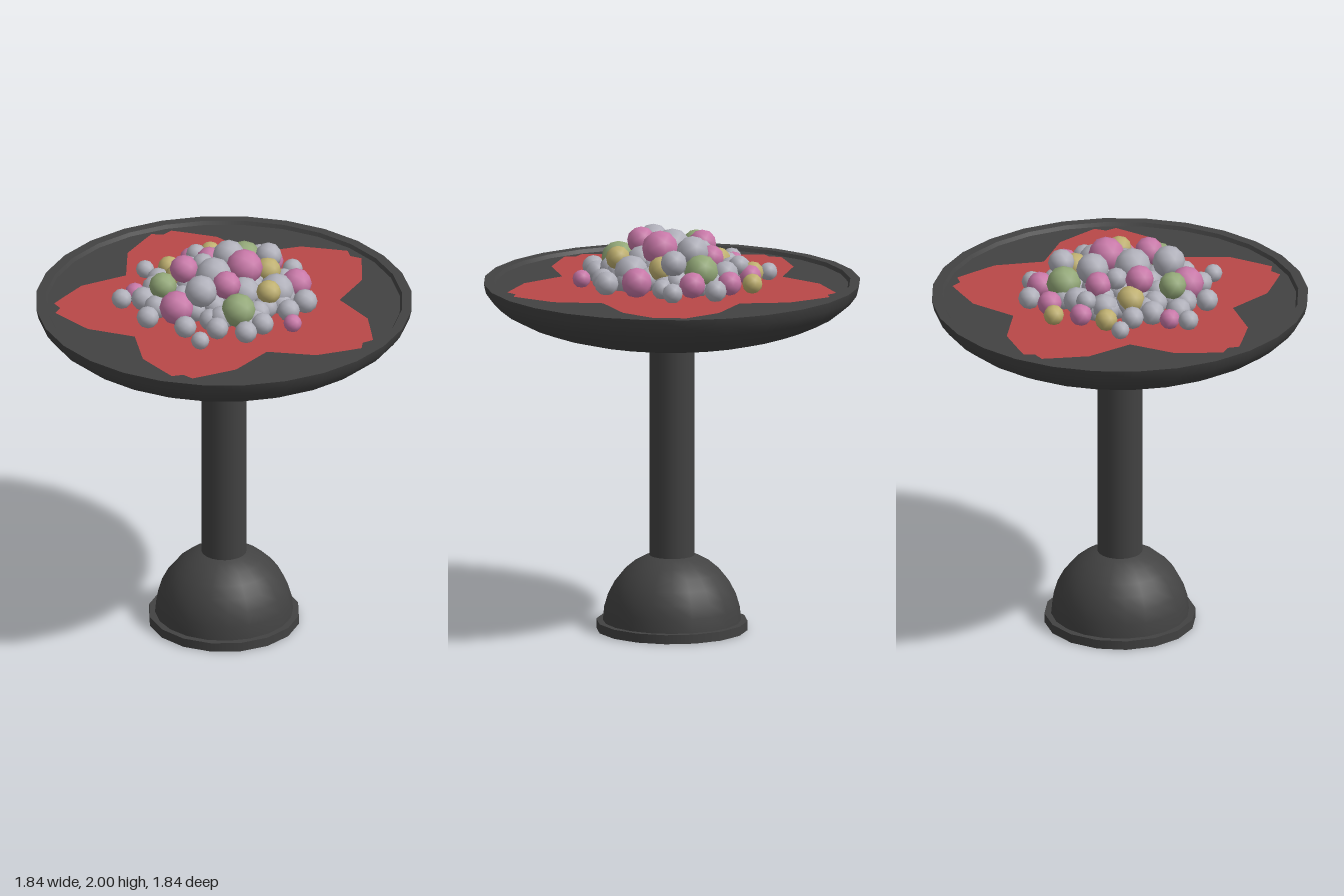
import * as THREE from 'three';

const paint = (name, color, side = THREE.FrontSide) => {
  const m = new THREE.MeshStandardMaterial({ color, side });
  m.name = name;
  return m;
};

export function createModel() {
  const model = new THREE.Group();
  const dark = paint('charcoal', 0x424242);
  const red = paint('red', 0xb84848, THREE.DoubleSide);
  const grey = paint('paleGrey', 0xb0b0ba);
  const pink = paint('pink', 0xc878a8);
  const green = paint('green', 0x93a878);
  const yellow = paint('yellow', 0xbfb070);

  const add = (name, geometry, material, x = 0, y = 0, z = 0, parent = model) => {
    const mesh = new THREE.Mesh(geometry, material);
    mesh.name = name;
    mesh.position.set(x, y, z);
    parent.add(mesh);
    return mesh;
  };

  // Quarter-ellipse profile used by the dome and the dish
  const arc = (rx, ry, y0, from, to, n) => Array.from({ length: n + 1 }, (_, i) => {
    const a = from + (to - from) * i / n;
    return new THREE.Vector2(Math.max(0, rx * Math.cos(a)), y0 + ry * Math.sin(a));
  });

  // Foot, dome and column
  add('footPlate', new THREE.CylinderGeometry(0.37, 0.37, 0.045, 16), dark, 0, 0.0225, 0);
  add('baseDome', new THREE.LatheGeometry(arc(0.337, 0.345, 0.045, 0, Math.PI / 2, 8), 20), dark);
  add('column', new THREE.CylinderGeometry(0.11, 0.11, 1.12, 20), dark, 0, 0.92, 0);

  // Shallow dish: outer bowl, raised rim, recessed floor
  add('dishBowl', new THREE.LatheGeometry(arc(0.92, 0.3, 1.73, -Math.PI / 2, 0, 10), 28), dark);
  const rim = add('dishRim', new THREE.RingGeometry(0.872, 0.92, 28), dark, 0, 1.73, 0);
  rim.rotation.set(-Math.PI / 2, 0, Math.PI / 2);
  add('rimWall', new THREE.LatheGeometry([
    new THREE.Vector2(0.872, 1.73), new THREE.Vector2(0.862, 1.712)], 28), dark);
  const floor = add('dishFloor', new THREE.CircleGeometry(0.862, 28), dark, 0, 1.712, 0);
  floor.rotation.set(-Math.PI / 2, 0, Math.PI / 2);

  // Five-petal inlay with notched tips; each entry is radius and angle from the petal axis
  const petal = [[0.565, -36], [0.72, -19], [0.785, -8.5], [0.828, -3.6], [0.8, 0],
    [0.828, 3.6], [0.785, 8.5], [0.72, 19]];
  const outline = [];
  for (let k = 0; k < 5; k++) {
    for (const [r, deg] of petal) {
      const a = THREE.MathUtils.degToRad(72 * k + deg);
      outline.push(new THREE.Vector2(r * Math.cos(a), r * Math.sin(a)));
    }
  }
  const inlay = add('flowerInlay', new THREE.ShapeGeometry(new THREE.Shape(outline)), red, 0, 1.717, 0);
  inlay.rotation.x = -Math.PI / 2;

  // Heap of beads
  const heap = new THREE.Group();
  heap.name = 'beadHeap';
  model.add(heap);
  const ball = new THREE.IcosahedronGeometry(1, 1);
  const bead = (name, material, x, y, z, r) =>
    add(name, ball, material, x, y, z, heap).scale.setScalar(r);

  // Large beads: x, y, z, radius
  const large = [
    ['greyBead', grey, [[-0.02, 1.89, 0.06, 0.09], [-0.06, 1.9, -0.14, 0.08], [0.02, 1.89, 0.24, 0.08],
      [0.24, 1.81, -0.1, 0.085], [0.08, 1.88, -0.28, 0.065], [0.14, 1.83, 0.04, 0.08]]],
    ['pinkBead', pink, [[0.08, 1.91, -0.06, 0.09], [0.11, 1.91, 0.15, 0.07], [-0.18, 1.89, 0.08, 0.07],
      [-0.07, 1.81, 0.32, 0.085]]],
    ['greenBead', green, [[-0.06, 1.83, -0.28, 0.085], [-0.2, 1.86, 0.24, 0.068], [0.21, 1.82, 0.2, 0.085]]],
    ['yellowBead', yellow, [[0.27, 1.86, 0.02, 0.06], [-0.24, 1.81, 0.03, 0.07], [0.12, 1.84, -0.21, 0.065]]],
  ];
  for (const [name, material, list] of large) {
    for (const [x, y, z, r] of list) bead(name, material, x, y, z, r);
  }

  // Small beads round the skirt: x, z, radius, height
  const small = [
    ['smallGreyBead', grey, [[-0.08, -0.45, 0.055], [0.13, -0.42, 0.05], [0.15, -0.31, 0.05], [0.38, -0.14, 0.06],
      [0.36, -0.02, 0.055], [0.33, 0.17, 0.055], [0.31, 0.29, 0.055], [0.16, 0.47, 0.045], [0.17, 0.33, 0.055],
      [0.03, 0.4, 0.055], [-0.18, 0.41, 0.055], [-0.4, 0.3, 0.05], [-0.3, 0.26, 0.06], [-0.48, -0.04, 0.045],
      [-0.36, 0.03, 0.055], [-0.28, -0.19, 0.05, 1.83], [-0.2, -0.23, 0.065, 1.8], [-0.27, -0.1, 0.065, 1.79],
      [-0.32, 0.13, 0.06], [-0.14, -0.03, 0.055, 1.88], [0.27, 0.12, 0.06, 1.79], [-0.2, 0.3, 0.06]]],
    ['smallPinkBead', pink, [[0.26, -0.25, 0.075, 1.79], [0.02, -0.39, 0.065, 1.79], [-0.18, -0.36, 0.06, 1.78],
      [-0.33, -0.22, 0.055, 1.78], [-0.16, -0.12, 0.065, 1.86], [-0.38, 0.21, 0.05], [0.44, 0.07, 0.045]]],
    ['smallYellowBead', yellow, [[-0.3, -0.35, 0.05, 1.77], [-0.38, -0.1, 0.055, 1.77]]],
  ];
  for (const [name, material, list] of small) {
    for (const [x, z, r, y = 1.712 + r] of list) bead(name, material, x, y, z, r);
  }

  // Inner grey beads filling the mound, spread on a sunflower spiral
  for (let i = 0; i < 30; i++) {
    const d = 0.31 * Math.sqrt((i + 0.5) / 30);
    const a = i * 2.39996;
    bead('fillBead', grey, d * Math.cos(a), 1.84 - 0.22 * d, d * Math.sin(a), 0.06);
    if (i >= 12) bead('fillBead', grey, d * Math.cos(a + 0.2), 1.765, d * Math.sin(a + 0.2), 0.055);
  }

  return model;
}
